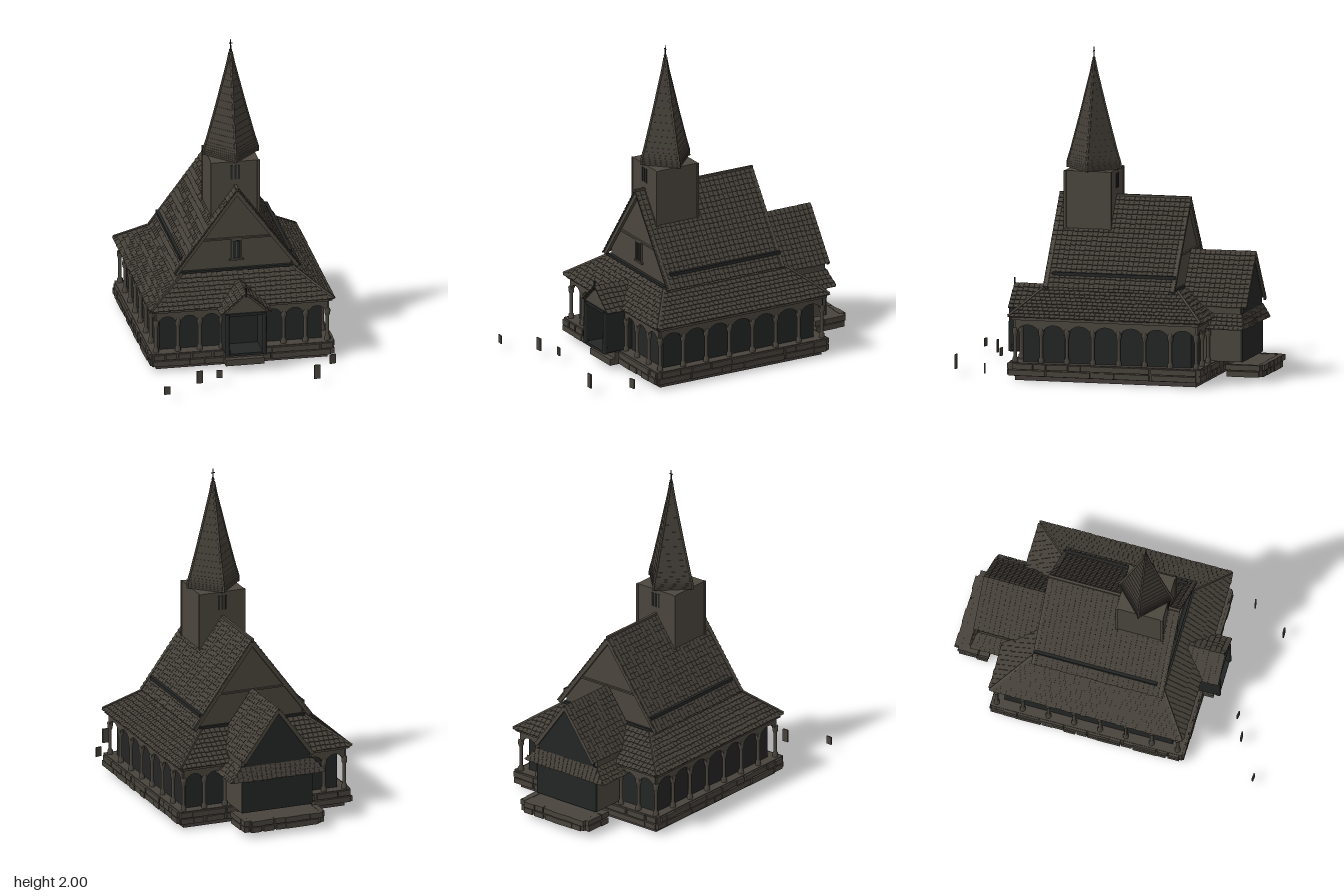
import * as THREE from 'three';
import { mergeGeometries } from 'three/addons/utils/BufferGeometryUtils.js';

const mat = (name, color, side = THREE.FrontSide) => {
  const m = new THREE.MeshStandardMaterial({ color, side });
  m.name = name;
  return m;
};
const V = (x, y, z) => new THREE.Vector3(x, y, z);
const BOTH = [-1, 1];

let seed = 7;
const rnd = () => (seed = (seed * 16807) % 2147483647) / 2147483647;

const box = (w, h, d, x, y, z) => new THREE.BoxGeometry(w, h, d).translate(x, y, z);
// box given by its limits
const span = (x0, x1, y0, y1, z0, z1) =>
  box(x1 - x0, y1 - y0, z1 - z0, (x0 + x1) / 2, (y0 + y1) / 2, (z0 + z1) / 2);

// square beam between two points
function beam(a, b, w, d = w) {
  const dir = b.clone().sub(a), len = dir.length();
  const side = Math.abs(dir.x) + Math.abs(dir.y) < 1e-6 ? V(1, 0, 0) : V(0, 0, 1);
  const y = dir.normalize(), x = y.clone().cross(side).normalize(), z = x.clone().cross(y);
  return new THREE.BoxGeometry(w, len, d)
    .applyMatrix4(new THREE.Matrix4().makeBasis(x, y, z).setPosition(a.clone().add(b).multiplyScalar(0.5)));
}

// extruded outline from z0 to z1
function prism(pts, z0, z1) {
  const shape = new THREE.Shape(pts.map(p => new THREE.Vector2(p[0], p[1])));
  return new THREE.ExtrudeGeometry(shape, { depth: z1 - z0, bevelEnabled: false }).translate(0, 0, z0);
}

// roof face with overlapping shingles; corners seen from outside
function roofFace(bl, br, tr, tl, course = 0.032) {
  const u = br.clone().sub(bl).normalize();
  const mid = bl.clone().add(br).multiplyScalar(0.5), top = tl.clone().add(tr).multiplyScalar(0.5);
  const v = top.sub(mid);
  v.addScaledVector(u, -v.dot(u));
  const slope = v.length();
  v.normalize();
  const n = u.clone().cross(v);
  const v2 = v.clone().multiplyScalar(0.985).addScaledVector(n, -0.17).normalize(), n2 = u.clone().cross(v2);
  const sheet = new THREE.BufferGeometry().setFromPoints([bl, br, tr, bl, tr, tl]);
  sheet.setAttribute('uv', new THREE.Float32BufferAttribute(new Float32Array(12), 2));
  sheet.computeVertexNormals();
  const out = [sheet], rows = Math.max(2, Math.round(slope / course)), h = slope / rows;
  for (let r = 0; r < rows; r++) {
    const t = (r + 0.5) / rows;
    const a = bl.clone().lerp(tl, t), b = br.clone().lerp(tr, t), w = a.distanceTo(b);
    const count = Math.max(1, Math.round(w / 0.032));
    for (let i = 0; i < count; i++) {
      const p = a.clone().lerp(b, (i + 0.5) / count).addScaledVector(n, 0.003)
        .addScaledVector(v, (rnd() - 0.5) * 0.005);
      out.push(new THREE.BoxGeometry(w / count * 0.94, h * 1.1, 0.005)
        .applyMatrix4(new THREE.Matrix4().makeBasis(u, v2, n2).setPosition(p)));
    }
  }
  return out;
}

// two slopes of a roof running along z: outer (xo, yo), inner (xi, yi)
function sideSlopes(xo, yo, zf, zb, xi, yi, zfi = zf, zbi = zb) {
  return [
    ...roofFace(V(xo, yo, zf), V(xo, yo, zb), V(xi, yi, zbi), V(xi, yi, zfi)),
    ...roofFace(V(-xo, yo, zb), V(-xo, yo, zf), V(-xi, yi, zfi), V(-xi, yi, zbi)),
  ];
}

// arched fascia and columns from a to b
function arcade(a, b, bays) {
  const len = a.distanceTo(b), w = len / bays, r = w / 2 - 0.012;
  const fascia = new THREE.Shape();
  fascia.moveTo(0, 0.4);
  fascia.lineTo(0, 0.29);
  for (let i = 0; i < bays; i++) {
    const c = (i + 0.5) * w;
    fascia.lineTo(c - r, 0.29);
    fascia.absellipse(c, 0.29, r, 0.055, Math.PI, 0, true);
    fascia.lineTo((i + 1) * w, 0.29);
  }
  fascia.lineTo(len, 0.4);
  const g = new THREE.ExtrudeGeometry(fascia, { depth: 0.02, bevelEnabled: false, curveSegments: 6 }).translate(0, 0, -0.01);
  g.rotateY(Math.atan2(-(b.z - a.z), b.x - a.x)).translate(a.x, 0, a.z);
  const out = [g];
  const profile = [[0.018, 0.11], [0.018, 0.135], [0.011, 0.145], [0.011, 0.27], [0.017, 0.285], [0.019, 0.31], [0.014, 0.325]]
    .map(p => new THREE.Vector2(...p));
  for (let i = 0; i <= bays; i++) {
    const p = a.clone().lerp(b, i / bays);
    out.push(new THREE.LatheGeometry(profile, 8).translate(p.x, 0, p.z));
  }
  return out;
}

// row of uneven stones along a wall line
function stones(x0, z0, x1, z1) {
  const out = [], n = Math.round(Math.hypot(x1 - x0, z1 - z0) / 0.075), alongX = z0 === z1;
  for (let row = 0; row < 2; row++) for (let i = 0; i < n; i++) {
    const t = (i + 0.5 + (rnd() - 0.5) * 0.3) / n, l = 0.06 + rnd() * 0.03, d = 0.028 + rnd() * 0.016;
    out.push(box(alongX ? l : d, 0.034, alongX ? d : l, x0 + (x1 - x0) * t, 0.05 + row * 0.04, z0 + (z1 - z0) * t));
  }
  return out;
}

export function createModel() {
  const group = new THREE.Group();
  const wood = mat('tarredWood', 0x4b463e), roof = mat('shingles', 0x443f38, THREE.DoubleSide),
    dark = mat('darkWood', 0x242525), stone = mat('stone', 0x48433c), slab = mat('foundation', 0x443d3b);
  const add = (name, material, geos) => {
    const mesh = new THREE.Mesh(mergeGeometries(geos.map(g => {
      const f = g.index ? g.toNonIndexed() : g;
      f.clearGroups();
      return f;
    })), material);
    mesh.name = name;
    group.add(mesh);
  };

  // foundation and stone plinths
  add('foundation', slab, [span(-0.535, 0.535, 0, 0.04, -0.65, 0.5)]);
  add('plinth', stone, [
    span(-0.565, 0.565, 0.03, 0.112, -0.675, 0.535),
    ...BOTH.flatMap(s => stones(s * 0.56, -0.66, s * 0.56, 0.52)),
    ...stones(-0.55, 0.53, 0.55, 0.53), ...stones(-0.55, -0.67, 0.55, -0.67),
  ]);
  add('chancelPlinth', stone, [
    span(-0.235, 0.235, 0.035, 0.105, -0.985, -0.78),
    ...BOTH.flatMap(s => stones(s * 0.25, -0.97, s * 0.25, -0.78)), ...stones(-0.23, -0.98, 0.23, -0.98),
  ]);
  add('steps', stone, [span(-0.12, 0.12, 0.03, 0.07, 0.5, 0.61), span(-0.12, 0.12, 0.07, 0.11, 0.5, 0.575)]);

  // gallery around the hall
  add('galleryWalls', dark, [span(-0.505, 0.505, 0.11, 0.4, -0.61, 0.46)]);
  add('galleryArcade', wood, [
    ...BOTH.flatMap(s => [
      ...arcade(V(s * 0.535, 0, 0.5), V(s * 0.535, 0, -0.65), 7),
      ...arcade(V(s * 0.535, 0, 0.5), V(s * 0.125, 0, 0.5), 3),
      ...arcade(V(s * 0.535, 0, -0.65), V(s * 0.26, 0, -0.65), 2),
      span(s * 0.55 - 0.012, s * 0.55 + 0.012, 0.375, 0.4, -0.67, 0.52),
    ]),
    span(-0.55, 0.55, 0.375, 0.4, 0.5, 0.525), span(-0.55, 0.55, 0.375, 0.4, -0.675, -0.65),
  ]);
  const q = (x, y, z) => V(x, y, z);
  add('galleryRoof', roof, [
    ...sideSlopes(0.573, 0.393, 0.54, -0.69, 0.345, 0.555, 0.36, -0.48),
    ...roofFace(q(-0.573, 0.393, 0.54), q(0.573, 0.393, 0.54), q(0.345, 0.555, 0.36), q(-0.345, 0.555, 0.36)),
    ...roofFace(q(0.573, 0.393, -0.69), q(-0.573, 0.393, -0.69), q(-0.345, 0.555, -0.48), q(0.345, 0.555, -0.48)),
  ]);
  add('galleryHips', wood, BOTH.flatMap(s => [
    beam(V(s * 0.57, 0.4, 0.535), V(s * 0.345, 0.56, 0.36), 0.014),
    beam(V(s * 0.57, 0.4, -0.685), V(s * 0.345, 0.56, -0.48), 0.014),
  ]));

  // main hall with steep gable roof
  add('hall', wood, [
    prism([[-0.34, 0.54], [0.34, 0.54], [0.34, 0.6], [0, 1.07], [-0.34, 0.6]], -0.45, 0.33),
    span(-0.24, 0.24, 0.755, 0.765, 0.33, 0.343), span(-0.24, 0.24, 0.755, 0.765, -0.463, -0.45),
    ...[0.345, -0.46].flatMap(z => BOTH.map(s => beam(V(0, 1.07, z), V(s * 0.385, 0.555, z), 0.03, 0.02))),
  ]);
  add('hallRoof', roof, sideSlopes(0.388, 0.56, 0.365, -0.473, 0, 1.088));
  add('hallTrim', dark, [
    span(-0.35, 0.35, 0.55, 0.566, -0.465, 0.35),
    ...BOTH.map(s => box(0.022, 0.02, 0.78, s * 0.338, 0.64, -0.075)),
    span(-0.022, 0.022, 0.63, 0.74, 0.33, 0.336),
  ]);
  add('hallWindowFrame', wood, [
    ...BOTH.map(s => box(0.01, 0.13, 0.012, s * 0.028, 0.685, 0.336)),
    box(0.09, 0.01, 0.014, 0, 0.62, 0.336), box(0.066, 0.01, 0.014, 0, 0.75, 0.336),
    box(0.006, 0.11, 0.01, 0, 0.685, 0.336),
  ]);
  add('hallRidge', wood, [span(-0.008, 0.008, 1.08, 1.097, -0.473, 0.365)]);

  // tower
  const tz = 0.147;
  add('tower', wood, [
    span(-0.148, 0.148, 0.7, 1.25, 0, 0.294),
    ...BOTH.flatMap(s => BOTH.map(t => box(0.016, 0.36, 0.016, s * 0.145, 1.07, tz + t * 0.143))),
  ]);
  add('towerWindows', dark, BOTH.flatMap(s => [-0.024, 0, 0.024].map(x => box(0.012, 0.09, 0.006, x, 1.18, tz + s * 0.148))));

  // four-sided flared spire with stepped courses
  const outline = [[0.17, 1.25], [0.168, 1.29], [0.152, 1.34], [0.122, 1.45], [0.085, 1.59], [0.05, 1.73], [0.02, 1.85], [0.006, 1.92]];
  const curve = new THREE.CatmullRomCurve3(outline.map(p => V(p[0], p[1], 0)));
  const profile = [new THREE.Vector2(0, 1.25)];
  for (let i = 0; i < 22; i++) {
    const a = curve.getPoint(i / 22), b = curve.getPoint((i + 1) / 22);
    profile.push(new THREE.Vector2(a.x, a.y), new THREE.Vector2(b.x + 0.003, b.y));
  }
  const spire = new THREE.LatheGeometry(profile, 4).toNonIndexed();
  spire.computeVertexNormals();
  add('spire', roof, [spire.translate(0, 0, tz)]);
  const rib = [0, 1, 2, 3].map(i => new THREE.TubeGeometry(curve, 20, 0.007, 5).rotateY(i * Math.PI / 2).translate(0, 0, tz));
  add('spireRibs', wood, rib);
  add('spireEaves', dark, [new THREE.CylinderGeometry(0.165, 0.15, 0.014, 4).translate(0, 1.25, tz)]);
  add('finial', dark, [
    new THREE.CylinderGeometry(0.003, 0.006, 0.1, 6).translate(0, 1.95, tz),
    new THREE.SphereGeometry(0.01, 8, 6).translate(0, 1.93, tz),
    box(0.022, 0.005, 0.005, 0, 1.975, tz),
  ]);

  // front porch
  add('porchWalls', dark, [
    ...BOTH.map(s => span(s * 0.115 - 0.012, s * 0.115 + 0.012, 0.12, 0.385, 0.46, 0.64)),
    span(-0.11, 0.11, 0.11, 0.125, 0.46, 0.65), span(-0.11, 0.11, 0.12, 0.38, 0.46, 0.485),
    span(-0.125, 0.125, 0.37, 0.388, 0.62, 0.648),
    ...BOTH.map(s => new THREE.CylinderGeometry(0.013, 0.016, 0.27, 8).translate(s * 0.115, 0.25, 0.643)),
    box(0.008, 0.06, 0.008, 0, 0.525, 0.65),
  ]);
  add('porchGable', wood, [prism([[-0.13, 0.388], [0.13, 0.388], [0, 0.505]], 0.46, 0.64)]);
  add('porchRoof', roof, sideSlopes(0.155, 0.385, 0.652, 0.42, 0, 0.518));

  // chancel
  add('chancelWalls', wood, [span(-0.235, 0.235, 0.12, 0.46, -0.85, -0.6)]);
  add('chancelBackWall', dark, [
    span(-0.235, 0.235, 0.12, 0.42, -0.862, -0.85),
    prism([[-0.215, 0.42], [0.215, 0.42], [0.215, 0.465], [0, 0.765], [-0.215, 0.465]], -0.862, -0.47),
  ]);
  add('chancelRoof', roof, sideSlopes(0.232, 0.455, -0.47, -0.885, 0, 0.772));
  add('chancelBargeboards', wood, BOTH.map(s => beam(V(0, 0.76, -0.878), V(s * 0.228, 0.448, -0.878), 0.022, 0.014)));
  add('chancelLowerRoof', roof, [
    ...sideSlopes(0.312, 0.328, -0.64, -0.885, 0.232, 0.415, -0.64, -0.86),
    ...roofFace(V(0.312, 0.328, -0.885), V(-0.312, 0.328, -0.885), V(-0.232, 0.415, -0.86), V(0.232, 0.415, -0.86)),
  ]);

  // gravestones: x, z, height
  const graves = [[-0.56, 0.99, 0.05], [-0.33, 0.85, 0.08], [-0.195, 0.79, 0.05], [0.39, 0.915, 0.09], [0.53, 0.695, 0.06]];
  add('gravestones', stone, graves.map(([x, z, h], i) =>
    new THREE.BoxGeometry(0.038, h, 0.009).rotateY([-0.1, 0.05, -0.15, 0, 0.25][i]).translate(x, 0.033 + h / 2, z)));
  return group;
}
